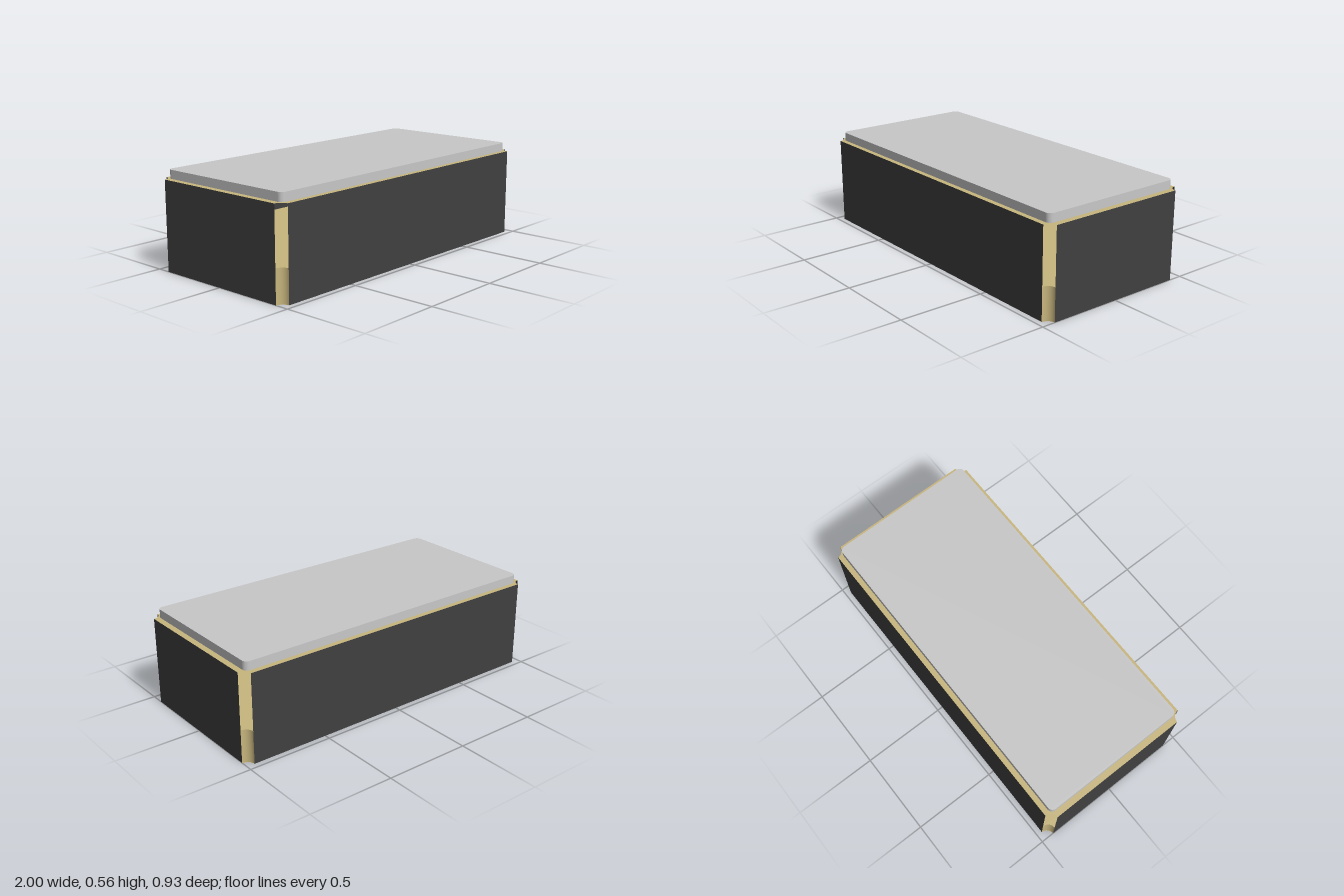
import * as THREE from 'three';

const W = 1, D = 0.467;          // half length and half depth
const R = 0.046;                 // corner notch radius
const TOP = 0.515, CAST = 0.19;  // body height, corner contact height

// Rectangle with concave quarter-round corners
function notchedShape() {
  const s = new THREE.Shape();
  const P = Math.PI;
  s.moveTo(-W + R, -D);
  s.lineTo(W - R, -D);
  s.absarc(W, -D, R, P, P / 2, true);
  s.lineTo(W, D - R);
  s.absarc(W, D, R, 1.5 * P, P, true);
  s.lineTo(-W + R, D);
  s.absarc(-W, D, R, 2 * P, 1.5 * P, true);
  s.lineTo(-W, -D + R);
  s.absarc(-W, -D, R, P / 2, 0, true);
  return s;
}

// Rectangle with convex rounded corners
function roundedShape(w, d, r) {
  const s = new THREE.Shape();
  const P = Math.PI;
  s.absarc(w - r, d - r, r, 0, P / 2);
  s.absarc(-w + r, d - r, r, P / 2, P);
  s.absarc(-w + r, -d + r, r, P, 1.5 * P);
  s.absarc(w - r, -d + r, r, 1.5 * P, 2 * P);
  s.closePath();
  return s;
}

export function createModel() {
  const group = new THREE.Group();
  const material = (name, color, side = THREE.FrontSide) => {
    const m = new THREE.MeshStandardMaterial({ color, side });
    m.name = name;
    return m;
  };
  const ceramic = material('dark ceramic', 0x404040, THREE.DoubleSide);
  const gold = material('gold plating', 0xc8b67e, THREE.DoubleSide);
  const steel = material('lid metal', 0xc8c8c8);

  const add = (name, geometry, mat, x = 0, y = 0, z = 0) => {
    const mesh = new THREE.Mesh(geometry, mat);
    mesh.name = name;
    mesh.position.set(x, y, z);
    group.add(mesh);
    return mesh;
  };
  const facingUp = (shape) => new THREE.ShapeGeometry(shape, 8).rotateX(-Math.PI / 2);
  const facingDown = (shape) => new THREE.ShapeGeometry(shape, 8).rotateX(Math.PI / 2);

  // Four side walls, open at the corner notches
  for (let i = 0; i < 4; i++) {
    const long = i % 2 === 0;
    const wall = new THREE.PlaneGeometry(2 * ((long ? W : D) - R), TOP);
    wall.translate(0, TOP / 2, long ? D : W).rotateY(i * Math.PI / 2);
    add('sideWall', wall, ceramic);
  }

  // Underside, inner floor and seal ring
  add('underside', facingDown(notchedShape()), ceramic, 0, 0.003);
  add('innerFloor', facingUp(notchedShape()), gold, 0, CAST);
  const ring = notchedShape();
  ring.holes.push(roundedShape(0.955, 0.427, 0.03));
  add('sealRing', facingUp(ring), gold, 0, TOP);

  // Plated corner contacts
  for (const sx of [-1, 1]) for (const sz of [-1, 1]) {
    const start = Math.atan2(-sx, -sz) - Math.PI / 4;
    const arc = new THREE.CylinderGeometry(R, R, CAST, 12, 1, true, start, Math.PI / 2);
    add('cornerContact', arc, gold, sx * W, CAST / 2, sz * D);
  }

  // Bottom pads flaring out to the corner contacts; one has a cut corner
  const pad = (sx, cut) => {
    const s = new THREE.Shape();
    const p = (x, z) => s.lineTo(sx * x, z);
    s.moveTo(sx * 0.57, -0.415);
    p(0.93, -0.415);
    p(W - R, -D);
    p(W - 0.033, -D + 0.033);
    p(W, -D + R);
    p(0.95, -0.395);
    p(0.95, 0.395);
    p(W, D - R);
    p(W - 0.033, D - 0.033);
    p(W - R, D);
    p(0.93, 0.415);
    if (cut) {
      p(0.76, 0.415);
      p(0.57, 0.22);
    } else p(0.57, 0.415);
    return s;
  };
  add('bottomPad', facingDown(pad(1, false)), gold);
  add('markedBottomPad', facingDown(pad(-1, true)), gold);

  // Lid
  const lid = new THREE.ExtrudeGeometry(roundedShape(0.965, 0.437, 0.03),
    { depth: 0.05, bevelEnabled: false, curveSegments: 8 });
  add('lid', lid.rotateX(-Math.PI / 2), steel, 0, TOP);

  return group;
}
